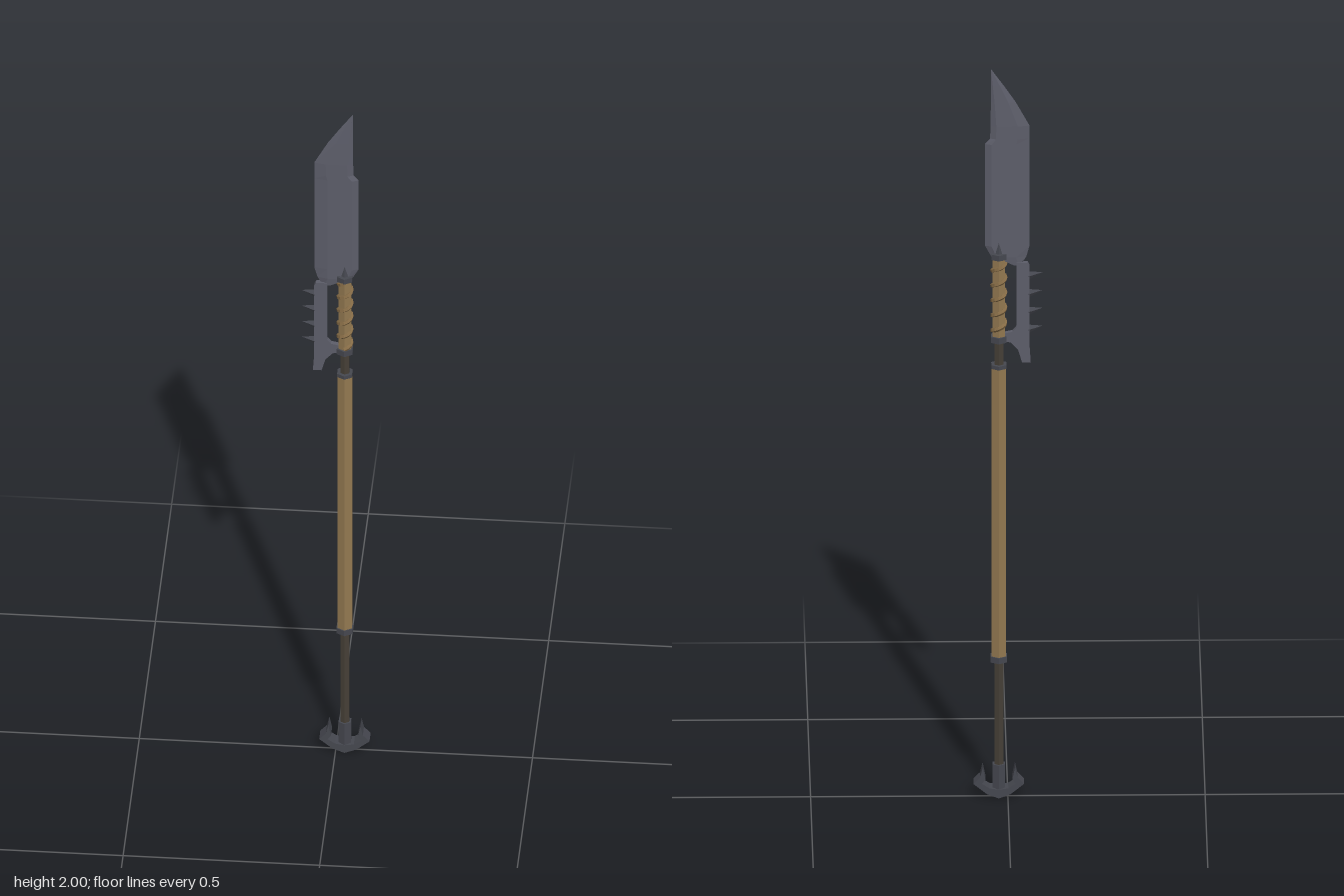
import * as THREE from 'three';

const mat = (name, color, extra = {}) => {
  const m = new THREE.MeshStandardMaterial({ color, flatShading: true, ...extra });
  m.name = name;
  return m;
};

// Helical path of the grip binding
class Helix extends THREE.Curve {
  constructor(radius, y0, y1, turns) {
    super();
    Object.assign(this, { radius, y0, y1, turns });
  }
  getPoint(t, target = new THREE.Vector3()) {
    const a = t * this.turns * Math.PI * 2;
    return target.set(Math.sin(a) * this.radius, this.y0 + (this.y1 - this.y0) * t, Math.cos(a) * this.radius);
  }
}

export function createModel() {
  const steel = mat('blade steel', 0x5c5d69);
  const iron = mat('dark iron', 0x45474f);
  const rodMat = mat('dark rod', 0x453f36);
  const wood = mat('tan wood', 0x927850);
  const wrapMat = mat('binding', 0x846a45);

  const group = new THREE.Group();
  const AXIS = 0.023;
  const add = (name, geo, material, x = 0, y = 0, z = 0, parent = group) => {
    const m = new THREE.Mesh(geo, material);
    m.name = name;
    m.position.set(x, y, z);
    parent.add(m);
    return m;
  };
  // Hexagonal section of the shaft between two heights
  const shaft = (name, y0, y1, r, material, rTop = r) =>
    add(name, new THREE.CylinderGeometry(rTop, r, y1 - y0, 6), material, AXIS, (y0 + y1) / 2);
  // Flat plate from an outline, centred on z = 0
  const plate = (pts, depth) => {
    const s = new THREE.Shape(pts.map(p => new THREE.Vector2(...p)));
    return new THREE.ExtrudeGeometry(s, { depth, bevelEnabled: false }).translate(0, 0, -depth / 2);
  };

  // Shaft
  shaft('rod', 0.05, 1.27, 0.013, rodMat);
  shaft('pole', 0.385, 1.185, 0.021, wood);
  shaft('lowerCollar', 0.372, 0.388, 0.024, iron);
  shaft('upperCollar', 1.18, 1.19, 0.022, iron);
  shaft('gripLowerCollar', 1.252, 1.268, 0.023, iron);
  shaft('grip', 1.266, 1.484, 0.018, wood);
  shaft('gripUpperCollar', 1.48, 1.495, 0.022, iron);
  shaft('bladeSocket', 1.495, 1.525, 0.012, iron, 0.007);
  add('gripBinding', new THREE.TubeGeometry(new Helix(0.016, 1.272, 1.478, 5), 60, 0.0065, 5), wrapMat, AXIS);

  // Blade: lofted six-sided sections, flat in the middle and thin at both edges
  // [y, left edge, right edge, half thickness]
  const rows = [
    [1.462, -0.034, -0.012, 0.005], [1.485, -0.047, 0.042, 0.007], [1.515, -0.055, 0.058, 0.007],
    [1.795, -0.055, 0.058, 0.007], [1.81, -0.055, 0.045, 0.007], [1.845, -0.055, 0.044, 0.007],
    [1.91, -0.02, 0.043, 0.005], [1.955, 0.01, 0.043, 0.003], [2.0, 0.042, 0.043, 0.0004],
  ];
  const pos = [], idx = [];
  rows.forEach(([y, l, r, h]) => {
    const bl = l + (r - l) * 0.3, br = r - (r - l) * 0.15;
    [[l, 0], [bl, h], [br, h], [r, 0], [br, -h], [bl, -h]].forEach(([x, z]) => pos.push(x, y, z));
  });
  for (let i = 0; i < rows.length - 1; i++)
    for (let j = 0; j < 6; j++) {
      const a = i * 6 + j, b = i * 6 + (j + 1) % 6;
      idx.push(a, b, b + 6, a, b + 6, a + 6);
    }
  const last = (rows.length - 1) * 6;
  for (let j = 1; j < 5; j++) idx.push(0, j + 1, j, last, last + j, last + j + 1);
  const bladeGeo = new THREE.BufferGeometry();
  bladeGeo.setAttribute('position', new THREE.Float32BufferAttribute(pos, 3));
  bladeGeo.setIndex(idx);
  const flatBlade = bladeGeo.toNonIndexed();
  flatBlade.computeVertexNormals();
  add('blade', flatBlade, steel);

  // Hand guard beside the grip
  add('guard', plate([
    [-0.058, 1.195], [-0.036, 1.195], [-0.026, 1.23], [-0.008, 1.25], [0.012, 1.255],
    [0.012, 1.275], [-0.012, 1.28], [-0.022, 1.292], [-0.022, 1.47], [-0.05, 1.47], [-0.055, 1.46], [-0.055, 1.24],
  ], 0.013), steel);

  // Row of guard spikes: four-sided points with upturned tips
  for (let i = 0; i < 4; i++) {
    const geo = new THREE.ConeGeometry(0.012, 0.036, 4);
    geo.rotateZ(Math.PI / 2);
    geo.scale(1, 1, 0.65);
    const p = geo.attributes.position;
    for (let k = 0; k < p.count; k++) if (p.getX(k) < 0) p.setY(k, p.getY(k) + 0.009);
    geo.computeVertexNormals();
    add('guardSpike' + (i + 1), geo, iron, -0.07, 1.432 - i * 0.049);
  }

  // Foot: sleeve with a two-armed barbed anchor
  shaft('footSleeve', 0.015, 0.09, 0.018, iron);
  const foot = new THREE.Group();
  foot.name = 'footAnchor';
  foot.position.x = AXIS;
  group.add(foot);
  const outline = [
    [0, 0], [0.03, 0.012], [0.064, 0.04], [0.047, 0.058], [0.041, 0.086],
    [0.034, 0.052], [0.043, 0.041], [0.024, 0.028], [0, 0.024],
  ];
  for (const s of [1, -1])
    add(s > 0 ? 'leftBarb' : 'rightBarb', plate(outline.map(([x, y]) => [x * s, y]), 0.037), iron, 0, 0, 0, foot);

  return group;
}
